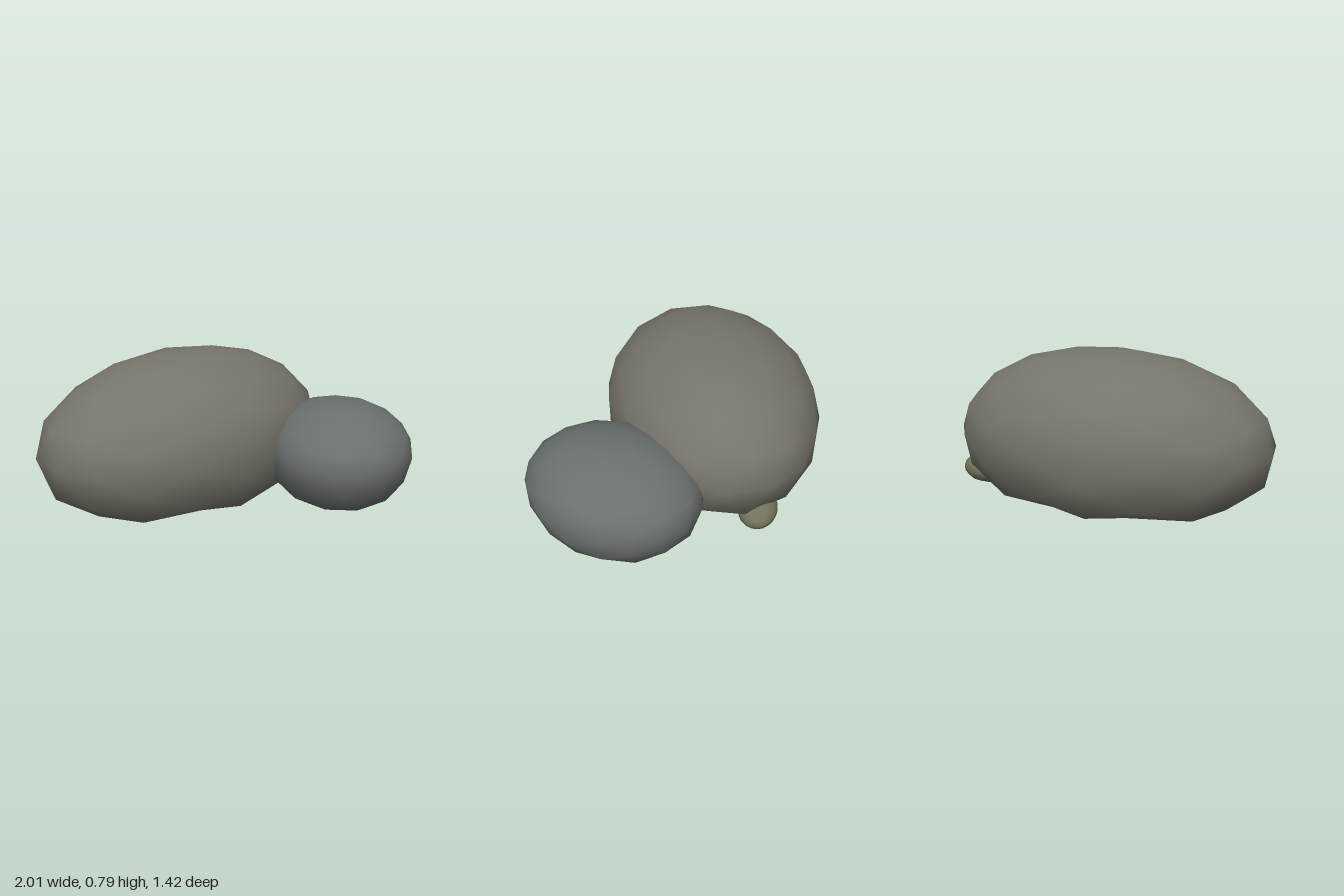
import * as THREE from 'three';
import { mergeVertices } from 'three/addons/utils/BufferGeometryUtils.js';

// A low-poly, smooth-shaded boulder: an ellipsoid with a flattened underside.
// size: half extents (x, height above the waist, z); depth: lower half radius;
// floor: distance from waist to flat underside; lean: shift of the crown along x;
// slope: rise of the whole stone along its x axis.
function makeStone({ name, color, at, size, turn, depth, floor, lean = 0, slope = 0 }) {
  let geo = new THREE.IcosahedronGeometry(1 / 0.98, 2);
  geo.deleteAttribute('normal');
  geo.deleteAttribute('uv');
  geo = mergeVertices(geo, 1e-4);
  const p = geo.attributes.position;
  for (let i = 0; i < p.count; i++) {
    const v = p.getY(i);
    const x = p.getX(i) * size[0] + (v > 0 ? lean * v * v : 0);
    let y = v * (v > 0 ? size[1] : depth);
    // squash everything below the floor into a shallow bulge
    if (y < -floor) y = -floor + (y + floor) * 0.14;
    p.setXYZ(i, x, y + slope * x, p.getZ(i) * size[2]);
  }
  geo.computeVertexNormals();
  const mesh = new THREE.Mesh(geo, new THREE.MeshStandardMaterial({ color }));
  mesh.name = name;
  mesh.position.set(...at);
  mesh.rotation.y = turn;
  return mesh;
}

export function createModel() {
  const group = new THREE.Group();
  group.name = 'rockCluster';
  group.add(
    makeStone({
      name: 'largeBoulder', color: 0x77756b, at: [-0.205, 0.325, -0.06],
      size: [0.835, 0.463, 0.59], turn: 0.48, depth: 0.53, floor: 0.285,
      lean: 0.03, slope: 0.025,
    }),
    makeStone({
      name: 'smallBoulder', color: 0x6b716f, at: [0.605, 0.28, 0.235],
      size: [0.475, 0.262, 0.39], turn: 1.31, depth: 0.34, floor: 0.24,
      slope: -0.01,
    }),
    makeStone({
      name: 'pebble', color: 0x74735a, at: [0.385, 0.108, -0.475],
      size: [0.14, 0.08, 0.105], turn: 0.1, depth: 0.08, floor: 0.075,
    }),
  );
  return group;
}
